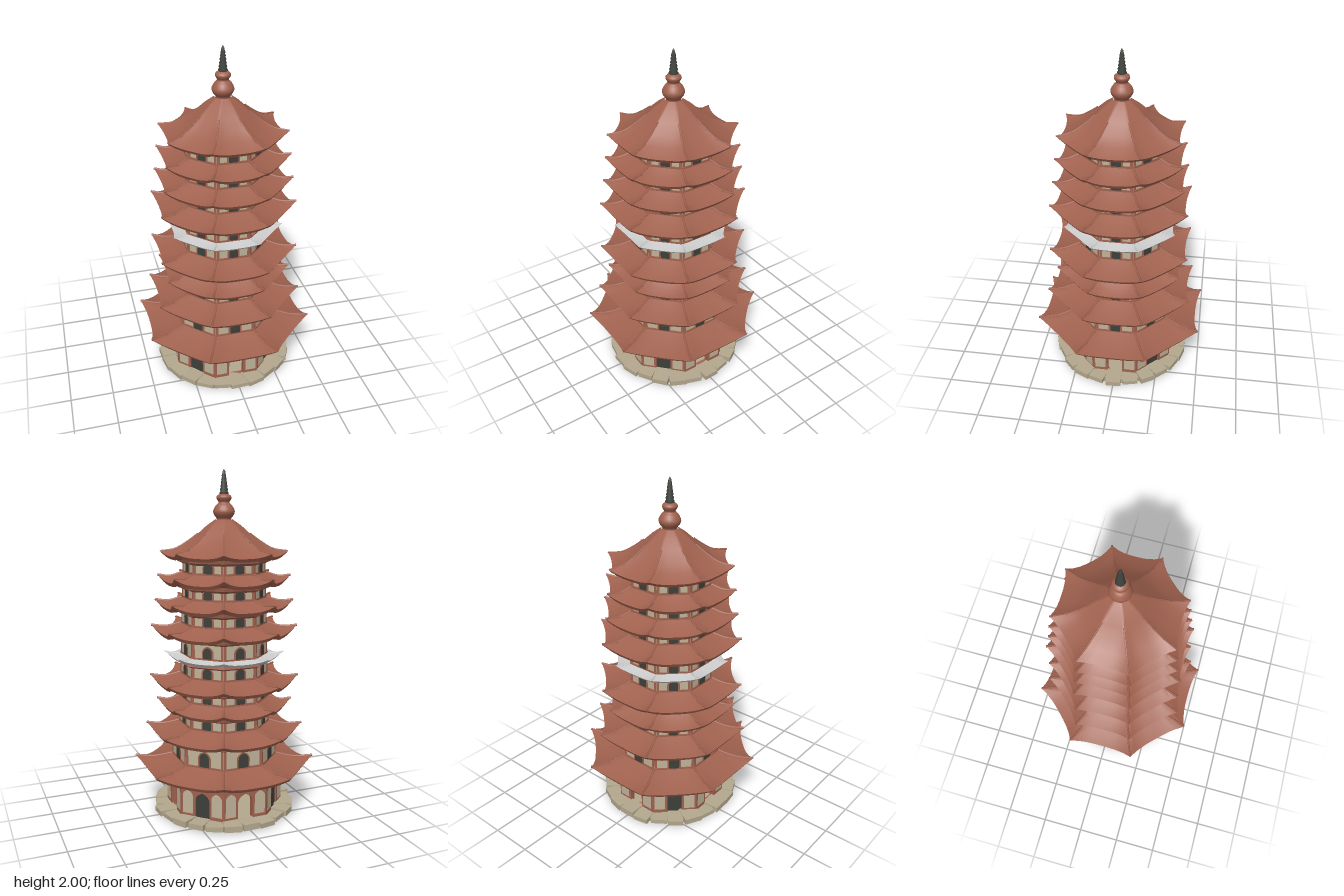
import * as THREE from 'three';
import { mergeGeometries, toCreasedNormals } from 'three/addons/utils/BufferGeometryUtils.js';

const mat = (name, color) => {
  const m = new THREE.MeshStandardMaterial({ color });
  m.name = name;
  return m;
};
const EIGHTH = Math.PI / 4, TAN = Math.tan(Math.PI / 8), COS = Math.cos(Math.PI / 8);
const SEG = 8; // strips along each side of a roof

// Point on an octagonal ring: apothem a, corners raised by lift and pushed out by flare
function ringPoint({ a, y, lift = 0, flare = 0 }, side, t) {
  const k = Math.abs(t) ** 3, s = a * (1 + flare * k);
  return new THREE.Vector3(s * TAN * t, y + lift * k, s)
    .applyAxisAngle(new THREE.Vector3(0, 1, 0), side * EIGHTH);
}

// Skin through rings, ordered so that the outside faces out
function loft(rings) {
  const pos = [], idx = [], n = 8 * SEG;
  for (const ring of rings)
    for (let j = 0; j < n; j++)
      pos.push(...ringPoint(ring, Math.floor(j / SEG), ((j % SEG) / SEG) * 2 - 1).toArray());
  for (let i = 0; i < rings.length - 1; i++)
    for (let j = 0; j < n; j++) {
      const a = i * n + j, b = i * n + (j + 1) % n;
      idx.push(a, b, b + n, a, b + n, a + n);
    }
  const g = new THREE.BufferGeometry();
  g.setAttribute('position', new THREE.Float32BufferAttribute(pos, 3));
  g.setIndex(idx);
  return toCreasedNormals(g, 0.6);
}

// Raised ridges along the eight hips
function hips(rings, radius) {
  return mergeGeometries([...Array(8).keys()].map(s => {
    const curve = new THREE.CatmullRomCurve3(rings.map(r => ringPoint(r, s, 1)));
    return new THREE.TubeGeometry(curve, 10, radius, 6);
  }));
}

// Eight-sided wall with flat sides facing the axes
function prism(a, y0, y1) {
  const g = new THREE.CylinderGeometry(a / COS, a / COS, y1 - y0, 8);
  g.rotateY(Math.PI / 8).translate(0, (y0 + y1) / 2, 0);
  return toCreasedNormals(g, 0.5);
}

// Pointed arch outline, w is the half width
function arch(w, y0, y1, x = 0, Type = THREE.Shape) {
  const spring = y1 - w * 0.95, s = new Type();
  s.moveTo(x - w, y0);
  s.lineTo(x + w, y0);
  s.lineTo(x + w, spring);
  s.quadraticCurveTo(x + w * 0.85, y1 - w * 0.25, x, y1);
  s.quadraticCurveTo(x - w * 0.85, y1 - w * 0.25, x - w, spring);
  s.closePath();
  return s;
}

// Repeats a geometry built facing +z on the given sides
const around = (geo, sides = [0, 1, 2, 3, 4, 5, 6, 7]) =>
  mergeGeometries(sides.map(s => geo.clone().rotateY(s * EIGHTH)));
const plate = (shapes, z) => new THREE.ShapeGeometry(shapes, 6).translate(0, 0, z);

function rect(x0, x1, y0, y1) {
  const s = new THREE.Shape();
  s.moveTo(x0, y0).lineTo(x1, y0).lineTo(x1, y1).lineTo(x0, y1).closePath();
  return s;
}

export function createModel() {
  const red = mat('terracotta', 0xa0614e), cream = mat('cream plaster', 0xbfb298),
    stone = mat('stone', 0xb3a78d), dark = mat('dark opening', 0x3d3f3a),
    pale = mat('pale eave', 0xcdcdcd), metal = mat('dark metal', 0x41453f);
  const model = new THREE.Group();
  model.name = 'pagoda';
  const add = (name, geo, material, parent = model) => {
    const m = new THREE.Mesh(geo, material);
    m.name = name;
    parent.add(m);
    return m;
  };

  // Round plinth edged with uneven slabs
  let seed = 7;
  const rand = () => (seed = (seed * 16807) % 2147483647) / 2147483647;
  add('plinth', new THREE.CylinderGeometry(0.385, 0.385, 0.034, 40).translate(0, 0.017, 0), stone);
  const slabs = [];
  for (let i = 0; i < 24; i++) {
    const h = 0.025 + rand() * 0.012;
    slabs.push(new THREE.BoxGeometry(0.085 + rand() * 0.025, h, 0.09 + rand() * 0.02)
      .rotateX((rand() - 0.5) * 0.08).rotateY((rand() - 0.5) * 0.2)
      .translate(0, 0.01 + h / 2, 0.355 + rand() * 0.014)
      .rotateY(i / 24 * Math.PI * 2));
  }
  add('plinthSlabs', mergeGeometries(slabs), stone);

  // Ground floor: arched doorways, the four main ones open right through
  const ground = new THREE.Group();
  ground.name = 'groundFloor';
  model.add(ground);
  const A = 0.32, half = A * TAN;
  const wall = rect(-half, half, 0.03, 0.25);
  wall.holes.push(arch(0.044, 0.034, 0.19, 0, THREE.Path));
  const wallGeo = new THREE.ExtrudeGeometry(wall, { depth: 0.03, bevelEnabled: false, curveSegments: 6 });
  add('groundWalls', around(wallGeo.translate(0, 0, A - 0.03)), red, ground);
  add('groundPanels', around(plate([arch(0.032, 0.06, 0.2, -0.09), arch(0.032, 0.06, 0.2, 0.09)], A + 0.003)), cream, ground);
  add('closedDoors', around(plate(arch(0.044, 0.034, 0.19), A - 0.008), [1, 3, 5, 7]), dark, ground);

  // Storeys: eave height y, eave apothem, wall apothem below and above, wall foot
  const tiers = [
    { y: 0.262, eave: 0.467, below: 0.32, above: 0.285 },
    { y: 0.47, eave: 0.405, below: 0.285, above: 0.245 },
    { y: 0.622, eave: 0.348, below: 0.245, above: 0.24 },
    { y: 0.765, eave: 0.382, below: 0.24, above: 0.235 },
    { y: 0.925, eave: 0.305, below: 0.235, above: 0.232, pale: true },
    { y: 1.062, eave: 0.372, below: 0.232, above: 0.228 },
    { y: 1.212, eave: 0.35, below: 0.228, above: 0.223 },
    { y: 1.355, eave: 0.335, below: 0.223, above: 0.218 },
  ];
  const eaveRings = (y, eave, below, thick, lift) => [
    { a: below - 0.005, y: y - 0.03 },
    { a: below + 0.03, y: y - 0.014 },
    { a: below + 0.035, y: y + 0.004, lift: lift * 0.2 },
    { a: eave - 0.012, y, lift, flare: 0.05 },
    { a: eave, y: y + thick, lift, flare: 0.058 },
  ];

  tiers.forEach((t, i) => {
    const storey = new THREE.Group();
    storey.name = 'storey' + (i + 2);
    model.add(storey);
    const thick = t.pale ? 0.014 : 0.02, rise = t.pale ? 0.012 : 0.05, lift = t.pale ? 0.02 : 0.034;
    const under = eaveRings(t.y, t.eave, t.below, thick, lift), edge = under[4];
    const slope = [
      edge,
      { a: t.above + (t.eave - t.above) * 0.55, y: edge.y + rise * 0.3, lift: lift * 0.35, flare: 0.02 },
      { a: t.above, y: edge.y + rise },
    ];
    // Eave roof with its ridges
    const skin = t.pale ? pale : red;
    if (t.pale) { // this eave sits on a terracotta cornice
      add('cornice', loft([under[0], under[1], { a: t.below + 0.025, y: t.y + 0.004 }]), red, storey);
      add('eaveRoof', loft([...under.slice(2), ...slope.slice(1)]), skin, storey);
    } else add('eaveRoof', loft([...under, ...slope.slice(1)]), skin, storey);
    add('hipRidges', hips(slope, t.pale ? 0.004 : 0.007), skin, storey);

    // Wall above, with posts, bands and framed windows
    const next = tiers[i + 1] ? tiers[i + 1].y : 1.502;
    const a = t.above, foot = edge.y + rise, h = a * TAN;
    add('wall', prism(a, t.y, next + 0.005), cream, storey);
    add('footBand', prism(a + 0.006, t.y + 0.005, foot + 0.008), red, storey);
    add('cornerPosts', around(plate([
      rect(-h, -h + 0.016, foot, next), rect(h - 0.016, h, foot, next),
    ], a + 0.002)), red, storey);
    const w = i === 0 ? 0.03 : 0.026, base = foot + 0.006, top = Math.min(base + (i === 0 ? 0.085 : 0.064), next - 0.012);
    add('windowFrames', around(plate(arch(w + 0.01, base - 0.004, top + 0.008), a + 0.004)), red, storey);
    add('windows', around(plate(arch(w, base, top), a + 0.0075)), dark, storey);
  });

  // Sweeping top roof
  const topEave = eaveRings(1.502, 0.32, 0.218, 0.018, 0.024);
  const topSlope = [
    topEave[4],
    { a: 0.25, y: 1.55, lift: 0.008, flare: 0.03 },
    { a: 0.19, y: 1.593, lift: 0.004, flare: 0.02 },
    { a: 0.135, y: 1.643, flare: 0.01 },
    { a: 0.09, y: 1.688 },
    { a: 0.045, y: 1.722 },
  ];
  add('topRoof', loft([...topEave, ...topSlope.slice(1)]), red);
  add('topHipRidges', hips(topSlope.slice(0, 4), 0.005), red);

  // Gourd-shaped crown and ringed spire
  const lathe = (pts, n) => new THREE.LatheGeometry(
    new THREE.SplineCurve(pts.map(p => new THREE.Vector2(...p))).getPoints(36), n);
  add('crown', lathe([[0.052, 1.7], [0.04, 1.722], [0.057, 1.748], [0.061, 1.77], [0.047, 1.798],
    [0.031, 1.815], [0.041, 1.834], [0.042, 1.848], [0.025, 1.862], [0, 1.866]], 20), red);
  const spire = [[0.02, 1.855]];
  for (let i = 0; i < 6; i++) {
    const r = 0.027 - i * 0.0028, y = 1.868 + i * 0.019;
    spire.push([r, y], [r * 0.72, y + 0.011]);
  }
  spire.push([0.008, 1.985], [0, 2]);
  add('spire', new THREE.LatheGeometry(spire.map(p => new THREE.Vector2(...p)), 10), metal);

  return model;
}
